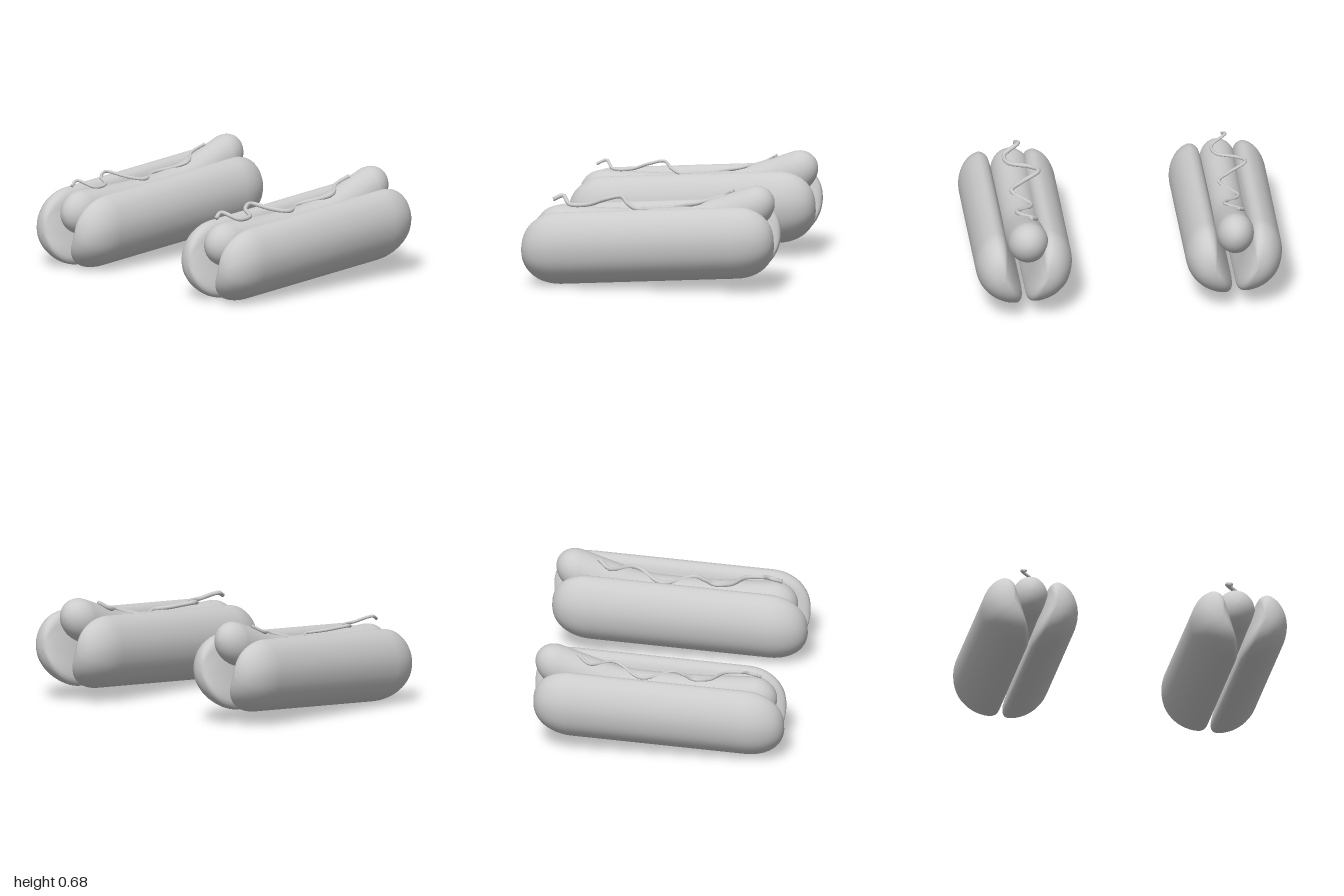
import * as THREE from 'three';

const V2 = (x, y) => new THREE.Vector2(x, y);
const V3 = (x, y, z) => new THREE.Vector3(x, y, z);
const material = new THREE.MeshStandardMaterial({ color: 0xcccccc });

// Skin over closed rings that run counter-clockwise (seen from +z) towards +z.
function loft(rings) {
  const n = rings[0].length;
  const index = [];
  for (let i = 0; i < rings.length - 1; i++) {
    for (let j = 0; j < n; j++) {
      const k = (j + 1) % n;
      const a = i * n + j, b = i * n + k, c = a + n, d = b + n;
      index.push(a, b, d, a, d, c);
    }
  }
  const geometry = new THREE.BufferGeometry().setFromPoints(rings.flat());
  geometry.setIndex(index);
  geometry.computeVertexNormals();
  return geometry;
}

// Stations along z with a scale that rounds both ends off.
function capsuleStations(back, front, cap, power, capSteps = 12, midSteps = 16) {
  const stations = [];
  for (let i = 0; i <= capSteps; i++) {
    const a = (1 - i / capSteps) * Math.PI / 2;
    stations.push([back + cap - cap * Math.sin(a), Math.max(Math.cos(a), 0.001) ** power]);
  }
  for (let i = 1; i < midSteps; i++) {
    stations.push([THREE.MathUtils.lerp(back + cap, front - cap, i / midSteps), 1]);
  }
  for (let i = 0; i <= capSteps; i++) {
    const a = (i / capSteps) * Math.PI / 2;
    stations.push([front - cap + cap * Math.sin(a), Math.max(Math.cos(a), 0.001) ** power]);
  }
  return stations;
}

// Bun half: flat slanted inside, round outside, rising towards the back.
const bunProfile = new THREE.CatmullRomCurve3([
  [0.012, 0.09], [0.03, 0.045], [0.09, 0.04], [0.2, 0.085], [0.285, 0.18], [0.315, 0.3],
  [0.3, 0.4], [0.25, 0.485], [0.18, 0.525], [0.13, 0.5], [0.1, 0.42], [0.05, 0.25],
].map(([x, y]) => V3(x, y, 0)), true, 'centripetal').getPoints(48).slice(0, -1);

function bunGeometry(side, back, front) {
  const profile = bunProfile.map(p => V2(side * p.x, p.y));
  if (side < 0) profile.reverse();
  const core = V2(side * 0.14, 0.28);
  return loft(capsuleStations(back, front, 0.25, 0.85).map(([z, s]) => profile.map(p =>
    V3(core.x + (p.x - core.x) * s, core.y + (p.y - core.y) * s - 0.066 * z, z))));
}

// Sausage: oval section on a bent axis, curling up at the back.
const sausageAxis = new THREE.SplineCurve([
  V2(-0.82, 0.56), V2(-0.65, 0.522), V2(-0.45, 0.448), V2(-0.2, 0.375),
  V2(0.2, 0.35), V2(0.6, 0.355), V2(0.77, 0.355),
]);

function axisHeight(z) {
  let lo = 0, hi = 1;
  for (let i = 0; i < 24; i++) {
    const mid = (lo + hi) / 2;
    if (sausageAxis.getPoint(mid).x < z) lo = mid; else hi = mid;
  }
  return sausageAxis.getPoint(lo).y;
}

function sausageGeometry(radius) {
  return loft(capsuleStations(-0.815, 0.76, 0.16, 1).map(([z, s]) => {
    const y = axisHeight(z);
    const ring = [];
    for (let j = 0; j < 32; j++) {
      const a = (j / 32) * Math.PI * 2;
      ring.push(V3(radius * s * Math.cos(a), y + 0.145 * s * Math.sin(a), z));
    }
    return ring;
  }));
}

// Sauce: thin wavy bead lying along the sausage.
const saucePath = new THREE.CatmullRomCurve3([
  [-0.035, 0.63, -0.535], [-0.075, 0.585, -0.46], [0.035, 0.55, -0.3], [-0.075, 0.5, -0.12],
  [0.035, 0.5, 0.08], [-0.04, 0.515, 0.16], [-0.155, 0.545, 0.24], [-0.11, 0.53, 0.33],
  [0.025, 0.515, 0.42], [0.04, 0.515, 0.53], [-0.055, 0.555, 0.6], [-0.04, 0.53, 0.66],
].map(p => V3(...p)));

function sauceGeometry(radius) {
  const rings = [];
  const frames = saucePath.computeFrenetFrames(120, false);
  for (let i = 0; i <= 122; i++) {
    const k = THREE.MathUtils.clamp(i - 1, 0, 120);
    const r = i === 0 || i === 122 ? 0.0001 : radius;
    const center = saucePath.getPointAt(k / 120);
    const ring = [];
    for (let j = 0; j < 10; j++) {
      const a = (j / 10) * Math.PI * 2;
      ring.push(center.clone()
        .addScaledVector(frames.normals[k], r * Math.cos(a))
        .addScaledVector(frames.binormals[k], r * Math.sin(a)));
    }
    rings.push(ring);
  }
  return loft(rings);
}

function addPart(group, name, geometry, x = 0) {
  const mesh = new THREE.Mesh(geometry, material);
  mesh.name = name;
  mesh.position.x = x;
  group.add(mesh);
}

export function createModel() {
  const model = new THREE.Group();
  model.name = 'hotDogs';
  const dogs = [
    { name: 'rightHotDog', x: -0.685, shift: -0.005, sausage: 0.12, sauce: 0.01, ends: [[-0.815, 0.82], [-0.83, 0.805]] },
    { name: 'leftHotDog', x: 0.685, shift: -0.025, sausage: 0.13, sauce: 0.014, ends: [[-0.83, 0.835], [-0.845, 0.825]] },
  ];
  for (const d of dogs) {
    const dog = new THREE.Group();
    dog.name = d.name;
    dog.position.x = d.x;
    addPart(dog, 'rightBunHalf', bunGeometry(-1, ...d.ends[0]));
    addPart(dog, 'leftBunHalf', bunGeometry(1, ...d.ends[1]));
    addPart(dog, 'sausage', sausageGeometry(d.sausage), d.shift);
    addPart(dog, 'sauce', sauceGeometry(d.sauce), d.shift + 0.005);
    model.add(dog);
  }
  return model;
}
